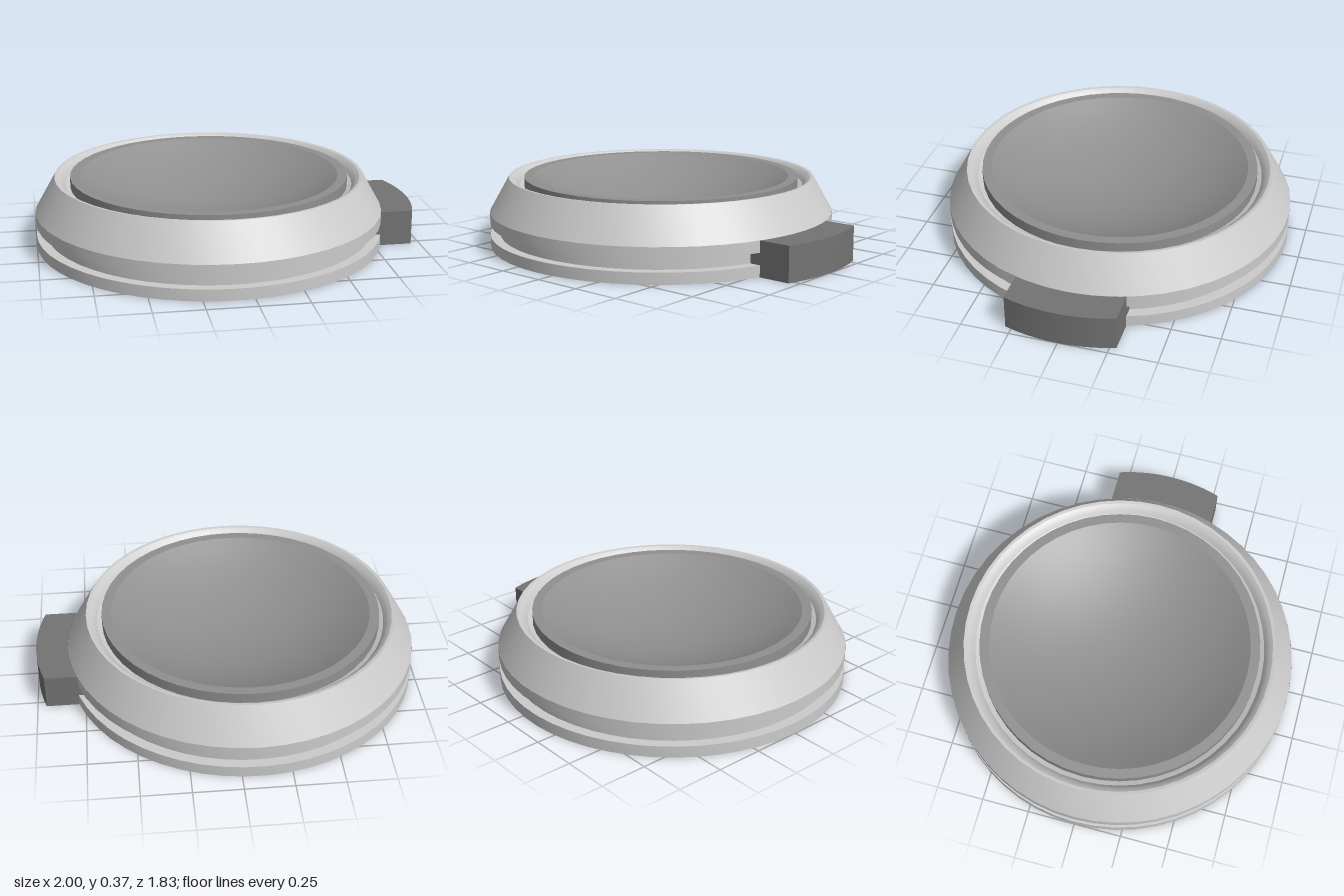
import * as THREE from 'three';
import { toCreasedNormals } from 'three/addons/utils/BufferGeometryUtils.js';

const SEGMENTS = 48;
const HALF_WIDTH = 0.283; // half the width of the side clip
const RING = 0.915;       // outer radius of the housing
const FLOOR = 0.862;      // radius of the groove floor
const GROOVE = [0.06, 0.122];
const HEIGHT = 0.183;     // top of the straight band and of the clip
const TOP = 0.365;
const CLIP = { radius: 0.9, centre: 0.185 };

const makeMaterial = (color) => new THREE.MeshStandardMaterial({ color, side: THREE.DoubleSide });
const bodyGrey = makeMaterial(0xcccccc);
const discGrey = makeMaterial(0x909090);
const clipGrey = makeMaterial(0x747474);

function makeMesh(name, geometry, material, crease = 0.45) {
  const mesh = new THREE.Mesh(toCreasedNormals(geometry, crease), material);
  mesh.name = name;
  return mesh;
}

// Turned part; gap is the half angle left open around +x
function turned(name, profile, material, crease, gap = 0) {
  const points = profile.map(([r, y]) => new THREE.Vector2(r, y));
  const geometry = new THREE.LatheGeometry(
    points, SEGMENTS, Math.PI / 2 + gap, 2 * (Math.PI - gap));
  return makeMesh(name, geometry, material, crease);
}

// Hollow side clip, open below and towards the ring
function makeClip() {
  const clip = new THREE.Group();
  clip.name = 'sideClip';
  const halfAngle = Math.asin(HALF_WIDTH / CLIP.radius);
  const innerAngle = Math.asin(HALF_WIDTH / RING);

  // Top plate between the two arcs
  const plan = new THREE.Shape();
  plan.absarc(CLIP.centre, 0, CLIP.radius, -halfAngle, halfAngle, false);
  plan.absarc(0, 0, RING, innerAngle, -innerAngle, true);
  const top = new THREE.ShapeGeometry(plan, 10).rotateX(-Math.PI / 2).translate(0, HEIGHT, 0);

  // Curved outer wall
  const wall = new THREE.CylinderGeometry(CLIP.radius, CLIP.radius, HEIGHT, 10, 1, true,
    Math.PI / 2 - halfAngle, 2 * halfAngle).translate(CLIP.centre, HEIGHT / 2, 0);
  clip.add(makeMesh('clipTop', top, clipGrey), makeMesh('clipOuterWall', wall, clipGrey));

  // End walls, each with a tongue reaching into the groove
  const outerX = CLIP.centre + CLIP.radius * Math.cos(halfAngle);
  const ringX = RING * Math.cos(innerAngle);
  const tongueX = Math.sqrt(FLOOR ** 2 - HALF_WIDTH ** 2);
  const outline = [
    [ringX, 0], [outerX, 0], [outerX, HEIGHT], [ringX, HEIGHT],
    [ringX, GROOVE[1]], [tongueX, GROOVE[1]], [tongueX, GROOVE[0]], [ringX, GROOVE[0]],
  ].map(([x, y]) => new THREE.Vector2(x, y));
  for (const side of [-1, 1]) {
    const end = new THREE.ShapeGeometry(new THREE.Shape(outline));
    const mesh = makeMesh(side > 0 ? 'clipFrontEnd' : 'clipBackEnd', end, clipGrey);
    mesh.scale.z = side;
    mesh.position.z = side * HALF_WIDTH;
    clip.add(mesh);
  }
  return clip;
}

export function createModel() {
  const model = new THREE.Group();
  model.name = 'roundHousing';

  // Grooved band, interrupted where the clip opens into it
  const band = turned('groovedBand', [
    [RING, 0], [RING, GROOVE[0]], [FLOOR, GROOVE[0]],
    [FLOOR, GROOVE[1]], [RING, GROOVE[1]], [RING, HEIGHT],
  ], bodyGrey, 0.45, Math.asin(HALF_WIDTH / RING));

  // Sloping bezel, rolled lip and straight bore
  const bezel = turned('bezel', [
    [RING, HEIGHT], [0.812, TOP],
    [0.796, 0.363], [0.781, 0.353], [0.766, 0.337], [0.755, 0.32], [0.73, 0.31],
    [0.812, 0.3], [0.812, 0],
  ], bodyGrey, 0.45);

  // Disc with a thin skirt, a flat rim and a spherical hollow
  const rim = 0.68;
  const depth = 0.18;
  const sphere = (rim * rim + depth * depth) / (2 * depth);
  const profile = [[0.72, TOP], [0.72, HEIGHT], [0.73, HEIGHT], [0.73, TOP]];
  const rings = 12;
  for (let i = rings; i >= 0; i--) {
    const r = rim * i / rings;
    profile.push([r, TOP - depth + sphere - Math.sqrt(sphere * sphere - r * r)]);
  }
  const disc = turned('dishedDisc', profile, discGrey, 0.25);

  model.add(band, bezel, disc, makeClip());
  for (const part of model.children) part.position.x = -0.085;
  return model;
}
